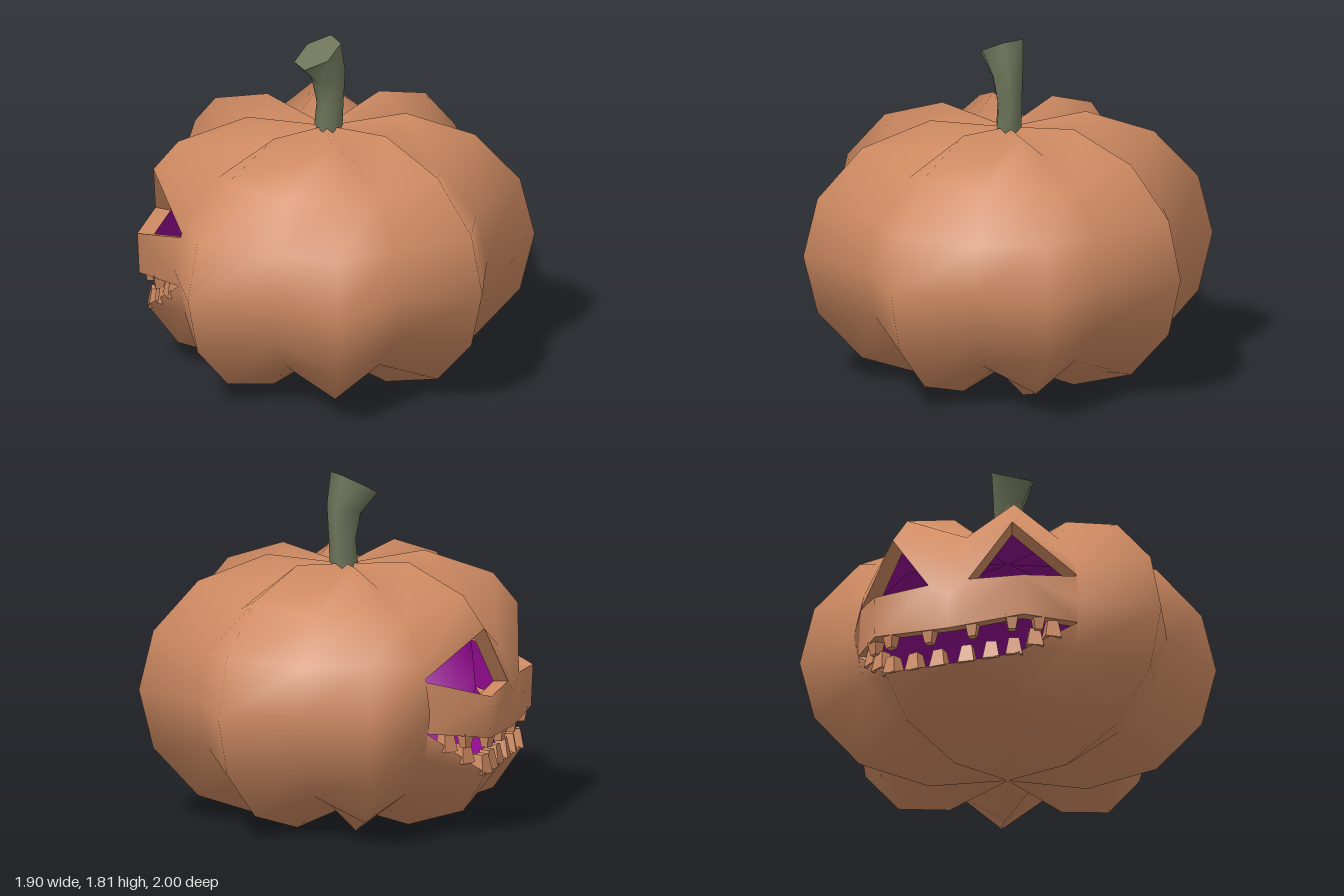
import * as THREE from 'three';
import { mergeVertices } from 'three/addons/utils/BufferGeometryUtils.js';

const mat = (name, color) => {
  const m = new THREE.MeshStandardMaterial({ color, side: THREE.DoubleSide });
  m.name = name;
  return m;
};
const v = (x, y, z) => new THREE.Vector3(x, y, z);
const mirror = (p) => v(p.x, p.y, -p.z);
const CENTRE = v(-0.05, 0.69, 0);
const WALL = 0.91; // inner wall size relative to the outer skin
const inset = (p, s = WALL) => p.clone().sub(CENTRE).multiplyScalar(s).add(CENTRE);

// Fans each polygon into triangles
function polysToGeometry(polys, smooth) {
  const pos = [];
  for (const p of polys)
    for (let i = 1; i < p.length - 1; i++)
      for (const q of [p[0], p[i], p[i + 1]]) pos.push(q.x, q.y, q.z);
  let g = new THREE.BufferGeometry();
  g.setAttribute('position', new THREE.Float32BufferAttribute(pos, 3));
  if (smooth) g = mergeVertices(g, 1e-4);
  g.computeVertexNormals();
  return g;
}

// Ridge profile [radius, height above centre]; valleys are the same, scaled down
const PROFILE = [[0.41, 0.7], [0.77, 0.57], [1.005, 0.31], [1.08, 0], [1.005, -0.31], [0.77, -0.57], [0.41, -0.69]];
const COLS = 16;
function skinPoint(col, row) {
  const s = col % 2 ? 1 : 0.815, a = (col % COLS) * Math.PI / 8, [r, h] = PROFILE[row];
  return v(CENTRE.x + r * s * Math.cos(a), CENTRE.y + h * s, r * s * Math.sin(a));
}

// Eye and mouth corners on the +z half of the face
const V = PROFILE.map((_, k) => skinPoint(6, k));
const R = PROFILE.map((_, k) => skinPoint(7, k));
const C = PROFILE.map((_, k) => skinPoint(8, k));
const F = {
  eyeTip: v(-0.625, 0.86, 0.6), eyeTop: v(-0.885, 1.1, 0.33),
  eyeIn: v(-0.95, 0.78, 0.11), eyeLow: v(-0.945, 0.76, 0.41),
  nose: v(-0.955, 0.7, 0), mouthTip: v(-0.65, 0.585, 0.605),
  upSide: v(-0.935, 0.54, 0.41), upMid: v(-0.95, 0.52, 0),
  lowSide: v(-0.905, 0.34, 0.365), lowMid: v(-0.9, 0.34, 0),
};

function skinPolys() {
  const polys = [], top = v(CENTRE.x, 1.33, 0), bottom = v(CENTRE.x, 0.04, 0);
  for (let i = 0; i < COLS; i++) {
    const onFace = i >= 6 && i < 10;
    polys.push([top, skinPoint(i + 1, 0), skinPoint(i, 0)]);
    polys.push([skinPoint(i, 6), skinPoint(i + 1, 6), bottom]);
    for (let k = 0; k < 6; k++) {
      if (onFace && k > 0 && k < 5) continue;
      polys.push([skinPoint(i, k), skinPoint(i + 1, k), skinPoint(i + 1, k + 1), skinPoint(i, k + 1)]);
    }
  }
  const half = [
    // brow
    [V[1], R[1], F.eyeTop, V[2]], [V[2], F.eyeTop, F.eyeTip],
    [R[1], C[1], C[2], F.eyeTop], [F.eyeTop, C[2], F.eyeIn], [C[2], F.nose, F.eyeIn],
    // cheek and upper lip
    [F.eyeLow, F.mouthTip, V[3], F.eyeTip], [F.eyeLow, F.upSide, F.mouthTip],
    [F.eyeLow, F.eyeIn, F.upMid, F.upSide], [F.eyeIn, F.nose, F.upMid],
    // chin
    [F.mouthTip, F.lowSide, V[4]], [V[4], F.lowSide, R[5], V[5]], [F.lowSide, F.lowMid, C[5], R[5]],
  ];
  for (const p of half) polys.push(p, p.map(mirror).reverse());
  return polys;
}

// Cut edge between skin and inner wall
const rimPolys = (loop) => loop.map((p, i) => {
  const q = loop[(i + 1) % loop.length];
  return [p, q, inset(q), inset(p)];
});

// Bent six-sided stem with a slanted end: [x, y, z, radius, tilt]
function stemGeometries() {
  const rings = [[-0.045, 1.28, -0.005, 0.075, 0], [-0.035, 1.46, -0.012, 0.07, 0],
    [-0.04, 1.62, 0, 0.088, 0.025], [-0.085, 1.755, 0.04, 0.122, 0.065]]
    .map(([x, y, z, r, tilt]) => Array.from({ length: 6 }, (_, i) => {
      const a = Math.PI / 6 + i * Math.PI / 3, c = Math.cos(a), s = Math.sin(a), h = Math.SQRT1_2;
      return v(x + r * h * (s - c), y - tilt * c, z + r * h * (s + c));
    }));
  const sides = [];
  for (let k = 0; k < rings.length - 1; k++)
    for (let i = 0; i < 6; i++) {
      const j = (i + 1) % 6;
      sides.push([rings[k][i], rings[k][j], rings[k + 1][j], rings[k + 1][i]]);
    }
  const outward = (polys, axis) => {
    const [a, b, c] = polys[0];
    const n = b.clone().sub(a).cross(c.clone().sub(a));
    return n.dot(axis) < 0 ? polys.map((p) => [...p].reverse()) : polys;
  };
  const mid = sides[0][0].clone().sub(v(-0.045, 1.28, -0.005));
  return [polysToGeometry(outward(sides, mid), true),
    polysToGeometry(outward([rings[3]], v(0, 1, 0)), false)];
}

export function createModel() {
  const orange = mat('pumpkin orange', 0xce8a62);
  const purple = mat('inner purple', 0x8f0a8c);
  const green = mat('stem green', 0x6e765b);
  const root = new THREE.Group();
  root.name = 'carvedPumpkin';
  const add = (name, geo, material, parent = root) => {
    const m = new THREE.Mesh(geo, material);
    m.name = name;
    parent.add(m);
    return m;
  };

  // Outer skin and inner wall
  const skin = skinPolys();
  add('skin', polysToGeometry(skin, true), orange);
  add('innerWall', polysToGeometry(skin.map((p) => p.map((q) => inset(q)).reverse()), true), purple);

  // Eye and mouth rims
  const eye = [F.eyeTip, F.eyeTop, F.eyeIn, F.eyeLow];
  add('leftEyeRim', polysToGeometry(rimPolys(eye), false), orange);
  add('rightEyeRim', polysToGeometry(rimPolys(eye.map(mirror).reverse()), false), orange);
  const mouth = [F.mouthTip, F.upSide, F.upMid, mirror(F.upSide), mirror(F.mouthTip),
    mirror(F.lowSide), F.lowMid, F.lowSide];
  add('mouthRim', polysToGeometry(rimPolys(mouth), false), orange);

  // Teeth: tapered blocks along both lips
  const teeth = new THREE.Group();
  teeth.name = 'teeth';
  root.add(teeth);
  const toothGeo = new THREE.CylinderGeometry(0.038, 0.062, 0.1, 4, 1).rotateY(Math.PI / 4).toNonIndexed();
  toothGeo.computeVertexNormals();
  const rows = [
    [F.lowMid, F.lowSide, [0.22, 0.6, 0.95], 1], [F.lowSide, F.mouthTip, [0.3, 0.6], 1],
    [F.upMid, F.upSide, [0.3, 0.85], -1], [F.upSide, F.mouthTip, [0.3], -1],
  ];
  for (const [a, b, ts, up] of rows)
    for (const t of ts)
      for (const side of [1, -1]) {
        const p = inset(a.clone().lerp(b, t), 0.955);
        const tooth = add(up > 0 ? 'lowerTooth' : 'upperTooth', toothGeo, orange, teeth);
        tooth.position.set(p.x, p.y + up * 0.03, p.z * side);
        tooth.rotation.set(up > 0 ? 0 : Math.PI, Math.atan2(p.z * side, -p.x - 0.05) * up, 0);
        tooth.scale.setScalar(up > 0 ? 1 : 0.75);
      }

  // Stem
  const [stemSide, stemEnd] = stemGeometries();
  add('stem', stemSide, green);
  add('stemCut', stemEnd, green);
  return root;
}
